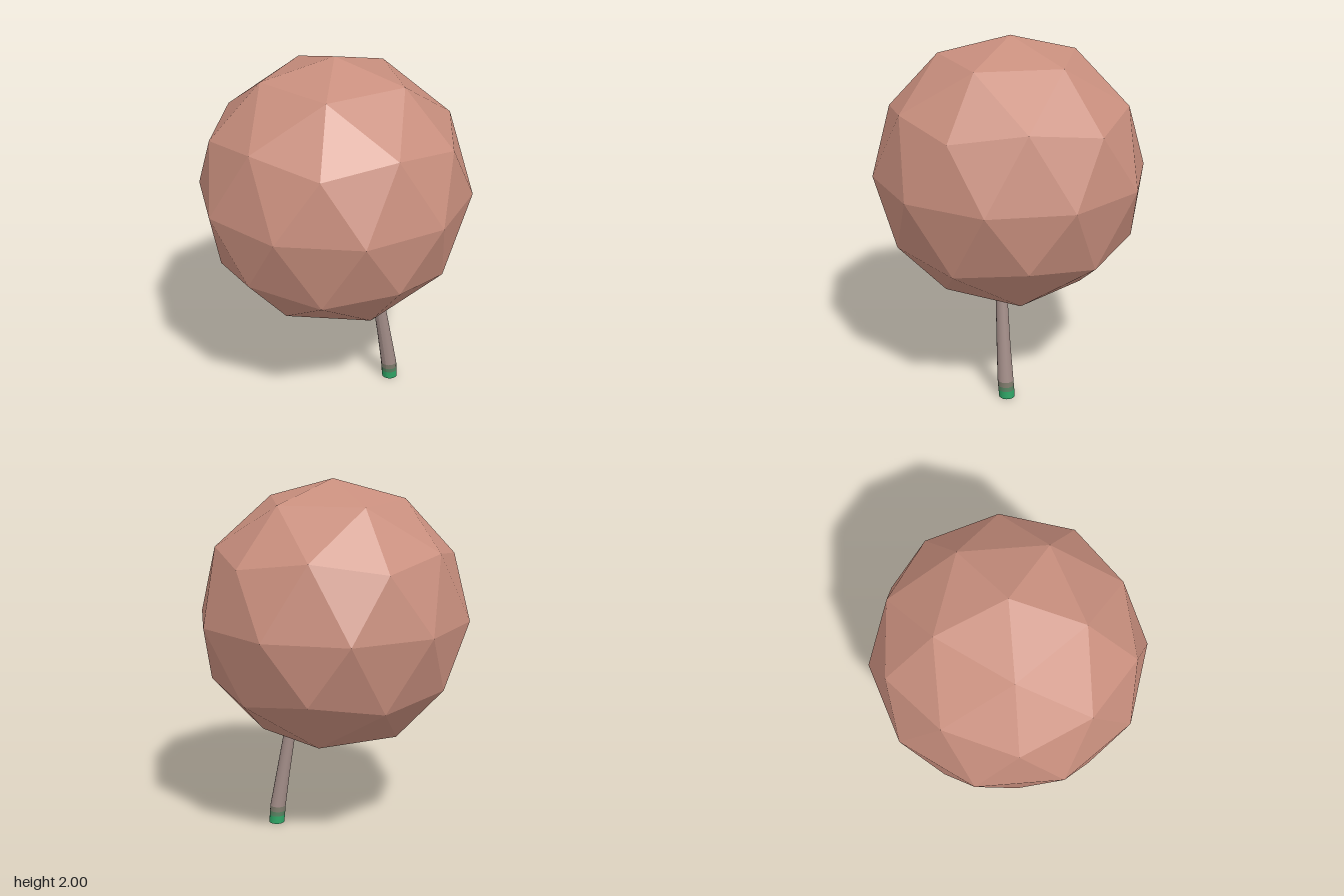
import * as THREE from 'three';

const SIDES = 16;

// Skin of horizontal rings [x, y, z, radius], bottom to top, with optional end caps
function loft(rings, capBottom, capTop) {
  const pos = [], index = [];
  const addRing = ([x, y, z, r]) => {
    const start = pos.length / 3;
    for (let i = 0; i <= SIDES; i++) {
      const a = (i / SIDES) * Math.PI * 2;
      pos.push(x + r * Math.sin(a), y, z + r * Math.cos(a));
    }
    return start;
  };
  const starts = rings.map(addRing);
  for (let k = 0; k < starts.length - 1; k++) {
    for (let i = 0; i < SIDES; i++) {
      const a = starts[k] + i, b = starts[k + 1] + i;
      index.push(a, a + 1, b + 1, a, b + 1, b);
    }
  }
  const cap = (ring, up) => {
    const s = addRing(ring), c = pos.length / 3;
    pos.push(ring[0], ring[1], ring[2]);
    for (let i = 0; i < SIDES; i++) {
      if (up) index.push(c, s + i, s + i + 1);
      else index.push(c, s + i + 1, s + i);
    }
  };
  if (capBottom) cap(rings[0], false);
  if (capTop) cap(rings[rings.length - 1], true);
  const g = new THREE.BufferGeometry();
  g.setAttribute('position', new THREE.Float32BufferAttribute(pos, 3));
  g.setIndex(index);
  g.computeVertexNormals();
  return g;
}

function addMesh(parent, name, geometry, color, flatShading = false) {
  const mesh = new THREE.Mesh(geometry, new THREE.MeshStandardMaterial({ color, flatShading }));
  mesh.name = name;
  parent.add(mesh);
  return mesh;
}

export function createModel() {
  const model = new THREE.Group();
  model.name = 'facetedBallOnStem';

  // Faceted ball, turned so that one corner points straight up
  const ball = new THREE.IcosahedronGeometry(0.76, 1);
  ball.rotateZ(-Math.atan(2 / (1 + Math.sqrt(5))));
  addMesh(model, 'ball', ball, 0xc98f7e, true).position.y = 1.24;

  // Leaning stem, slightly tapered, running up into the ball
  const stem = new THREE.Group();
  stem.name = 'stem';
  model.add(stem);
  const base = [
    [0.3, 0, -0.137, 0.044],
    [0.299, 0.045, -0.133, 0.045],
    [0.298, 0.07, -0.13, 0.045],
    [0.297, 0.1, -0.127, 0.045],
  ];
  addMesh(stem, 'stemTip', loft(base.slice(0, 2), true, false), 0x2fa566);
  // Bands fading from the green tip to the bark
  addMesh(stem, 'lowerFadeBand', loft(base.slice(1, 3), false, false), 0x55805f);
  addMesh(stem, 'upperFadeBand', loft(base.slice(2, 4), false, false), 0x7d7a6b);
  addMesh(stem, 'stemShaft', loft([
    base[3],
    [0.274, 0.3, -0.103, 0.039],
    [0.238, 0.58, -0.072, 0.033],
    [0.233, 0.62, -0.068, 0.032],
  ], false, true), 0xa08b86);

  return model;
}
